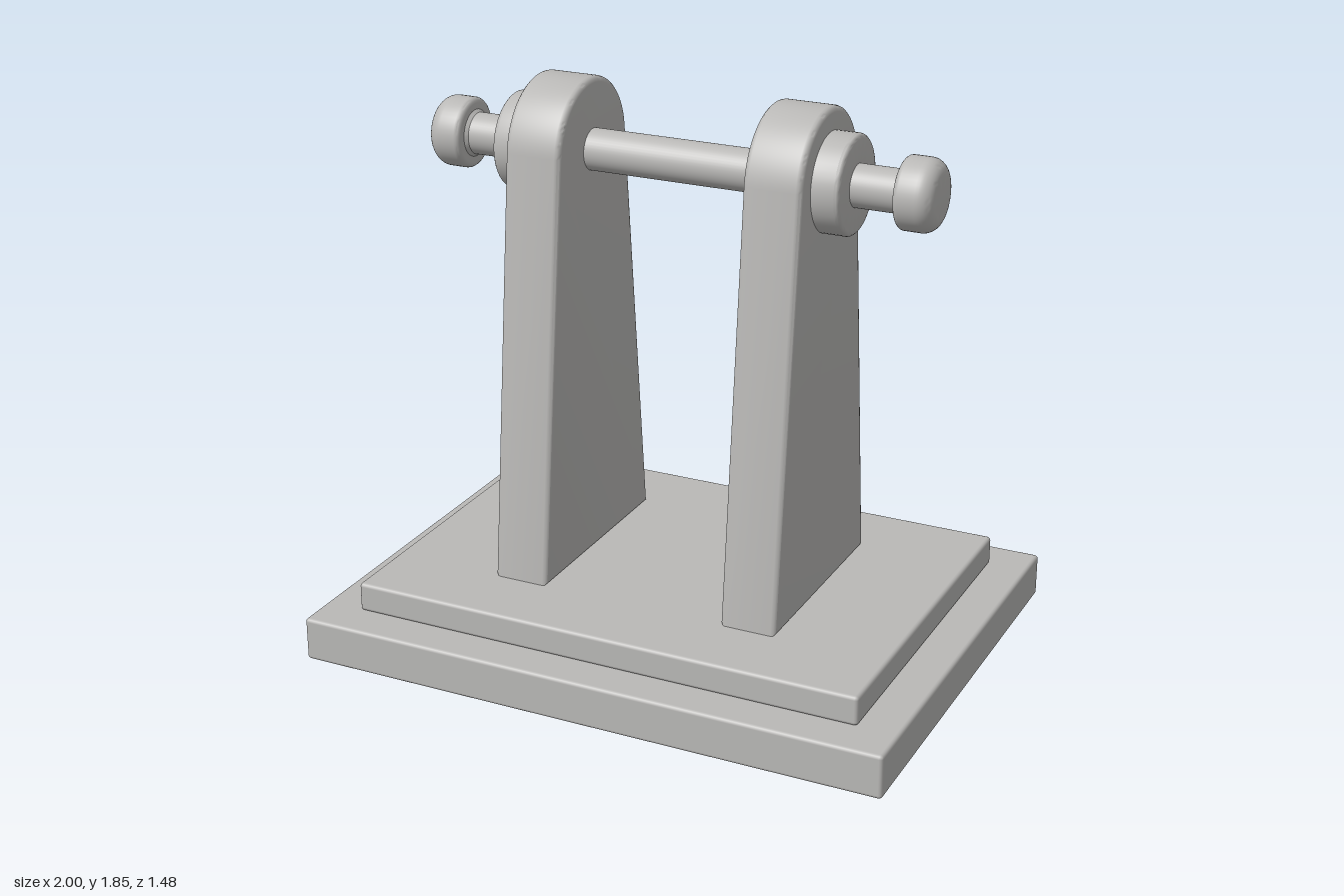
import * as THREE from 'three';
import { toCreasedNormals } from 'three/addons/utils/BufferGeometryUtils.js';
import { RoundedBoxGeometry } from 'three/addons/geometries/RoundedBoxGeometry.js';

const AXLE_Y = 1.617;

export function createModel() {
  const model = new THREE.Group();
  model.name = 'axleStand';
  const grey = new THREE.MeshStandardMaterial({ color: 0xb9b8b6 });
  grey.name = 'light grey';

  const add = (parent, name, geometry, x = 0, y = 0, z = 0) => {
    const mesh = new THREE.Mesh(geometry, grey);
    mesh.name = name;
    mesh.position.set(x, y, z);
    parent.add(mesh);
    return mesh;
  };

  // Turned part along +x from [radius, x] pairs
  const turned = (points) => {
    const g = new THREE.LatheGeometry(points.map(([r, x]) => new THREE.Vector2(r, x)), 48);
    g.rotateZ(-Math.PI / 2);
    return toCreasedNormals(g, 0.6);
  };

  // Quarter-round corner points for a turned profile
  const corner = (r, x, radius, from, to, steps = 6) =>
    Array.from({ length: steps + 1 }, (_, i) => {
      const a = from + (to - from) * i / steps;
      return [r + radius * Math.cos(a), x + radius * Math.sin(a)];
    });

  // Stepped base
  add(model, 'basePlate', new RoundedBoxGeometry(2, 0.146, 1.476, 2, 0.012), 0, 0.073);
  add(model, 'upperPlate', new RoundedBoxGeometry(1.738, 0.098, 1.22, 2, 0.012), 0, 0.195);

  // Tapered upright with a round head, tangent to the sloping sides
  const tilt = 0.0995, bevel = 0.018, thickness = 0.19;
  const outline = new THREE.Shape();
  outline.moveTo(-0.368, 0.243);
  outline.lineTo(0.368, 0.243);
  outline.absarc(0, AXLE_Y, 0.231, tilt, Math.PI - tilt, false);
  outline.closePath();
  const extruded = new THREE.ExtrudeGeometry(outline, {
    depth: thickness - 2 * bevel, curveSegments: 32,
    bevelThickness: bevel, bevelSize: bevel, bevelOffset: -bevel, bevelSegments: 3,
  });
  extruded.translate(0, 0, bevel);
  extruded.rotateY(Math.PI / 2);
  const uprightGeometry = toCreasedNormals(extruded, 0.6);

  // Bearing collar with a softened outer edge
  const collarGeometry = turned([
    [0.158, 0.48], ...corner(0.143, 0.571, 0.015, 0, Math.PI / 2, 3), [0.06, 0.586],
  ]);

  // End knob: small flare, softened inner rim, rounded outer end
  const knobGeometry = turned([
    [0.066, 0.722], [0.077, 0.735],
    ...corner(0.097, 0.753, 0.018, -Math.PI / 2, 0, 4),
    ...corner(0.065, 0.806, 0.05, 0, Math.PI / 2, 8),
    [0, 0.856],
  ]);

  // Matching supports at both ends
  for (const side of [1, -1]) {
    const support = new THREE.Group();
    support.name = side > 0 ? 'leftSupport' : 'rightSupport';
    if (side < 0) support.rotation.y = Math.PI;
    add(support, 'upright', uprightGeometry, 0.308);
    add(support, 'collar', collarGeometry, 0, AXLE_Y);
    add(support, 'endKnob', knobGeometry, 0, AXLE_Y);
    model.add(support);
  }

  // Axle
  const axle = new THREE.CylinderGeometry(0.068, 0.068, 1.5, 48);
  axle.rotateZ(Math.PI / 2);
  add(model, 'axle', axle, 0, AXLE_Y);

  return model;
}
